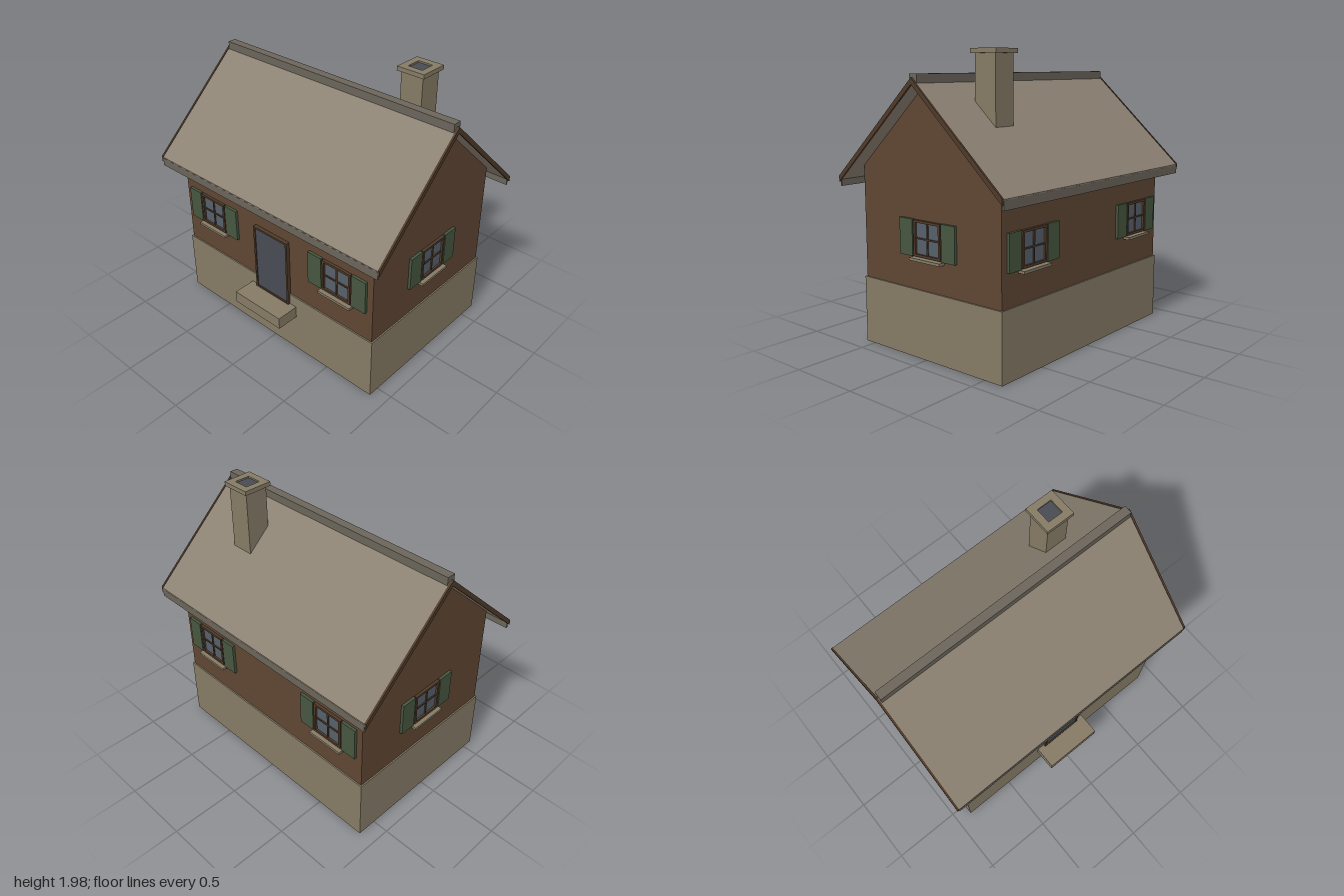
import * as THREE from 'three';

const mat = (color, side = THREE.FrontSide) => new THREE.MeshStandardMaterial({ color, side });
const M = {
  stone: mat(0x857a65), wood: mat(0x5f4633), frame: mat(0x4f3a2a), roof: mat(0x8c8273),
  trim: mat(0x6b655a), shutter: mat(0x46563f), glass: mat(0x56606b), door: mat(0x484c53),
};
const MID = -0.03; // z of the ridge line

function add(parent, name, geometry, material, x = 0, y = 0, z = 0) {
  const mesh = new THREE.Mesh(geometry, material);
  mesh.name = name;
  mesh.position.set(x, y, z);
  parent.add(mesh);
  return mesh;
}

// Box given by its limits on each axis
function box(parent, name, material, [x0, x1], [y0, y1], [z0, z1]) {
  return add(parent, name, new THREE.BoxGeometry(x1 - x0, y1 - y0, z1 - z0), material,
    (x0 + x1) / 2, (y0 + y1) / 2, (z0 + z1) / 2);
}

// Profile in (z, y), extruded along x and centred
function extrudeX(points, width) {
  const shape = new THREE.Shape(points.map(([a, b]) => new THREE.Vector2(a, b)));
  const g = new THREE.ExtrudeGeometry(shape, { depth: width, bevelEnabled: false });
  return g.translate(0, 0, -width / 2).rotateY(-Math.PI / 2);
}

// Rectangular ring in the xy plane, back face on z = 0
function ring(w, h, border, depth) {
  const rect = (path, a, b) => path.moveTo(-a, -b).lineTo(a, -b).lineTo(a, b).lineTo(-a, b).closePath();
  const shape = rect(new THREE.Shape(), w / 2, h / 2);
  shape.holes.push(rect(new THREE.Path(), w / 2 - border, h / 2 - border));
  return new THREE.ExtrudeGeometry(shape, { depth, bevelEnabled: false });
}

// Sloping roof section with vertical thickness t
const chevron = (half, eave, apex, t) => [
  [-half, eave - t], [0, apex - t], [half, eave - t], [half, eave], [0, apex], [-half, eave],
];

// Window facing +z, wall surface on z = 0
function createWindow() {
  const w = new THREE.Group();
  w.name = 'window';
  box(w, 'glass', M.glass, [-0.105, 0.105], [-0.105, 0.105], [-0.01, 0.006]);
  add(w, 'windowFrame', ring(0.235, 0.235, 0.016, 0.02), M.frame);
  box(w, 'verticalBar', M.frame, [-0.005, 0.005], [-0.105, 0.105], [0, 0.014]);
  box(w, 'horizontalBar', M.frame, [-0.105, 0.105], [-0.005, 0.005], [0, 0.014]);
  box(w, 'sill', M.stone, [-0.135, 0.135], [-0.142, -0.124], [-0.005, 0.045]);
  for (const s of [-1, 1]) {
    box(w, 'shutter', M.shutter, [s * 0.185 - 0.058, s * 0.185 + 0.058], [-0.12, 0.12], [0, 0.02]);
  }
  return w;
}

export function createModel() {
  const house = new THREE.Group();
  house.name = 'cottage';

  // Foundation and walls
  box(house, 'foundation', M.stone, [-0.885, 0.885], [0, 0.457], [MID - 0.61, MID + 0.61]);
  box(house, 'walls', M.wood, [-0.875, 0.875], [0.457, 1.24], [MID - 0.6, MID + 0.6]);
  add(house, 'gables', extrudeX([[-0.6, 1.24], [0.6, 1.24], [0, 1.775]], 1.75), M.wood, 0, 0, MID);

  // Roof, ridge cap, barge boards and fascias
  add(house, 'roof', extrudeX(chevron(0.71, 1.145, 1.795, 0.03), 1.97), M.roof, 0, 0, MID);
  box(house, 'ridgeCap', M.trim, [-0.98, 0.98], [1.765, 1.823], [MID - 0.031, MID + 0.031]);
  for (const s of [-1, 1]) {
    add(house, 'bargeBoard', extrudeX(chevron(0.71, 1.15, 1.8, 0.04), 0.014), M.frame, s * 0.992, 0, MID);
    const z = MID + s * 0.705;
    box(house, 'fascia', M.trim, [-0.985, 0.985], [1.08, 1.138], [z - 0.006, z + 0.006]);
  }

  // Windows: two at the front, two at the back, one on each side
  const place = (x, z, turn) => {
    const w = createWindow();
    w.position.set(x, 0.795, z);
    w.rotation.y = turn;
    house.add(w);
  };
  for (const s of [-1, 1]) {
    place(s * 0.585, MID + 0.6, 0);
    place(s * 0.585, MID - 0.6, Math.PI);
    place(s * 0.875, MID, s * Math.PI / 2);
  }

  // Door and step
  box(house, 'door', M.door, [-0.145, 0.145], [0.372, 0.872], [0.56, 0.59]);
  add(house, 'doorFrame', ring(0.316, 0.516, 0.014, 0.03), M.frame, 0, 0.63, 0.568);
  box(house, 'doorStep', M.stone, [-0.215, 0.215], [0.287, 0.374], [0.58, 0.745]);

  // Chimney with an open cap and dark flue
  const cx = 0.523, cz = -0.272;
  box(house, 'chimney', M.stone, [cx - 0.084, cx + 0.084], [1.2, 1.947], [cz - 0.084, cz + 0.084]);
  add(house, 'chimneyCap', ring(0.21, 0.21, 0.05, 0.03).rotateX(-Math.PI / 2), M.stone, cx, 1.946, cz);
  box(house, 'flue', M.door, [cx - 0.055, cx + 0.055], [1.93, 1.965], [cz - 0.055, cz + 0.055]);

  return house;
}
